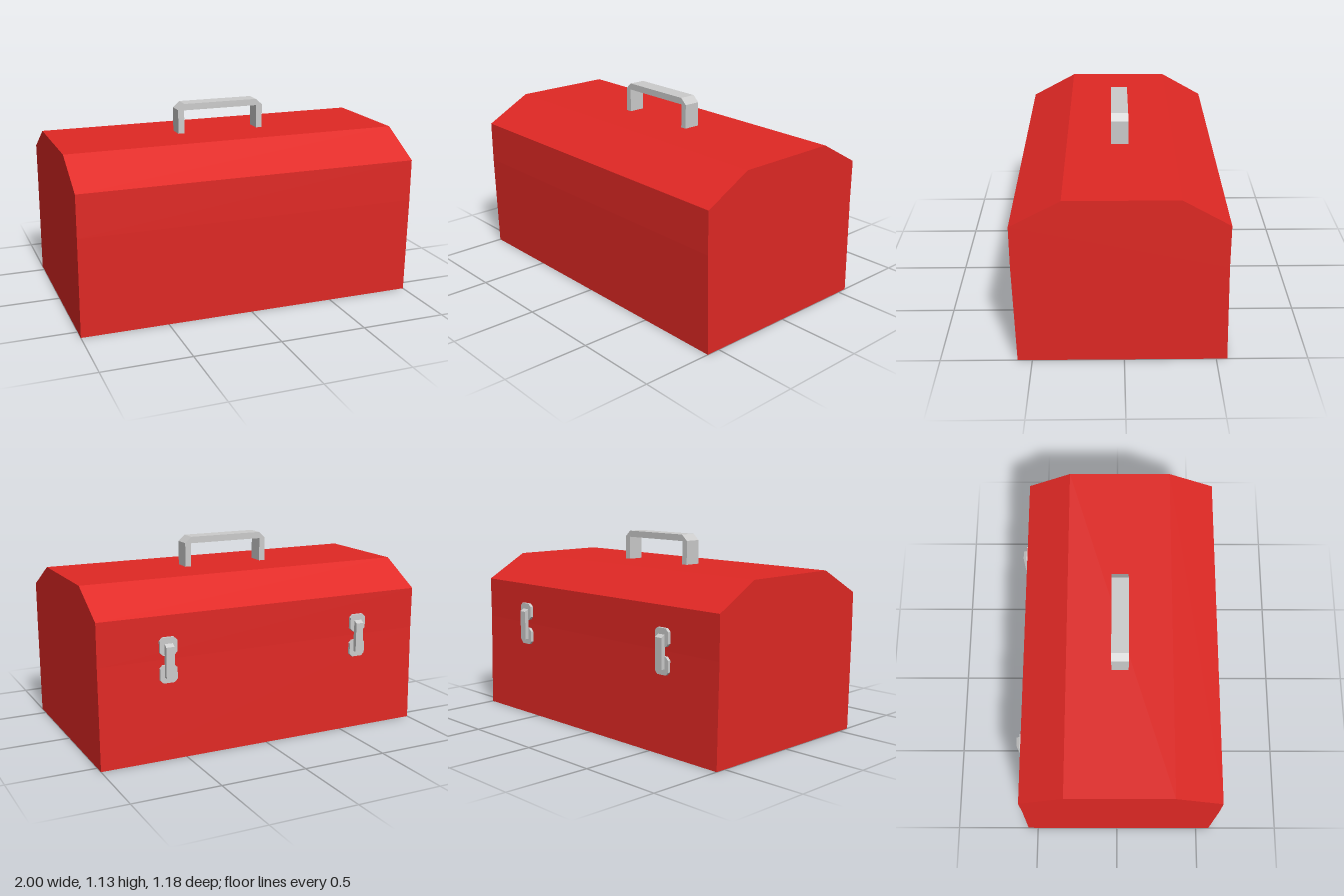
import * as THREE from 'three';

const red = new THREE.MeshStandardMaterial({ color: 0xe02824, flatShading: true });
const grey = new THREE.MeshStandardMaterial({ color: 0xcccccc, flatShading: true });

// Extrude a polygon, centred on its depth axis
function prism(name, points, depth, material) {
  const shape = new THREE.Shape(points.map(([x, y]) => new THREE.Vector2(x, y)));
  const geometry = new THREE.ExtrudeGeometry(shape, { depth, bevelEnabled: false });
  geometry.translate(0, 0, -depth / 2);
  const mesh = new THREE.Mesh(geometry, material);
  mesh.name = name;
  return mesh;
}

// Same, for a (z, y) side profile extruded along x
function sideProfile(name, points, width, material) {
  const mesh = prism(name, points, width, material);
  mesh.geometry.rotateY(-Math.PI / 2);
  return mesh;
}

// Rectangle with cut corners, centred on the origin
function cutRectangle(w, h, c) {
  const x = w / 2, y = h / 2;
  return [[-x + c, -y], [x - c, -y], [x, -y + c], [x, y - c],
    [x - c, y], [-x + c, y], [-x, y - c], [-x, -y + c]];
}

// Two-plate clasp with a lever bridging the lid seam
function createLatch(x) {
  const latch = new THREE.Group();
  latch.name = 'latch';
  const plates = [['upperLatchPlate', 0.645], ['lowerLatchPlate', 0.492]];
  for (const [name, y] of plates) {
    const plate = prism(name, cutRectangle(0.1, 0.1, 0.018), 0.018, grey);
    plate.position.set(0, y, -0.556);
    latch.add(plate);
  }
  latch.add(sideProfile('latchLever',
    [[-0.563, 0.475], [-0.563, 0.662], [-0.588, 0.646], [-0.588, 0.475]], 0.048, grey));
  latch.position.x = x;
  return latch;
}

export function createModel() {
  const model = new THREE.Group();
  model.name = 'toolbox';

  // Slightly flared case with a faceted lid
  model.add(sideProfile('body', [
    [0.58, 0], [0.592, 0.57], [0.592, 0.813], [0.32, 0.96],
    [-0.29, 0.96], [-0.547, 0.813], [-0.547, 0.57], [-0.56, 0],
  ], 2, red));

  // Carrying handle with cut outer corners
  const handle = prism('handle', [
    [0.265, 0.955], [0.265, 1.1], [0.226, 1.135], [-0.226, 1.135], [-0.265, 1.1], [-0.265, 0.955],
    [-0.228, 0.955], [-0.228, 1.097], [0.228, 1.097], [0.228, 0.955],
  ], 0.098, grey);
  handle.position.z = 0.017;
  model.add(handle);

  for (const side of [-1, 1]) model.add(createLatch(side * 0.602));
  return model;
}
